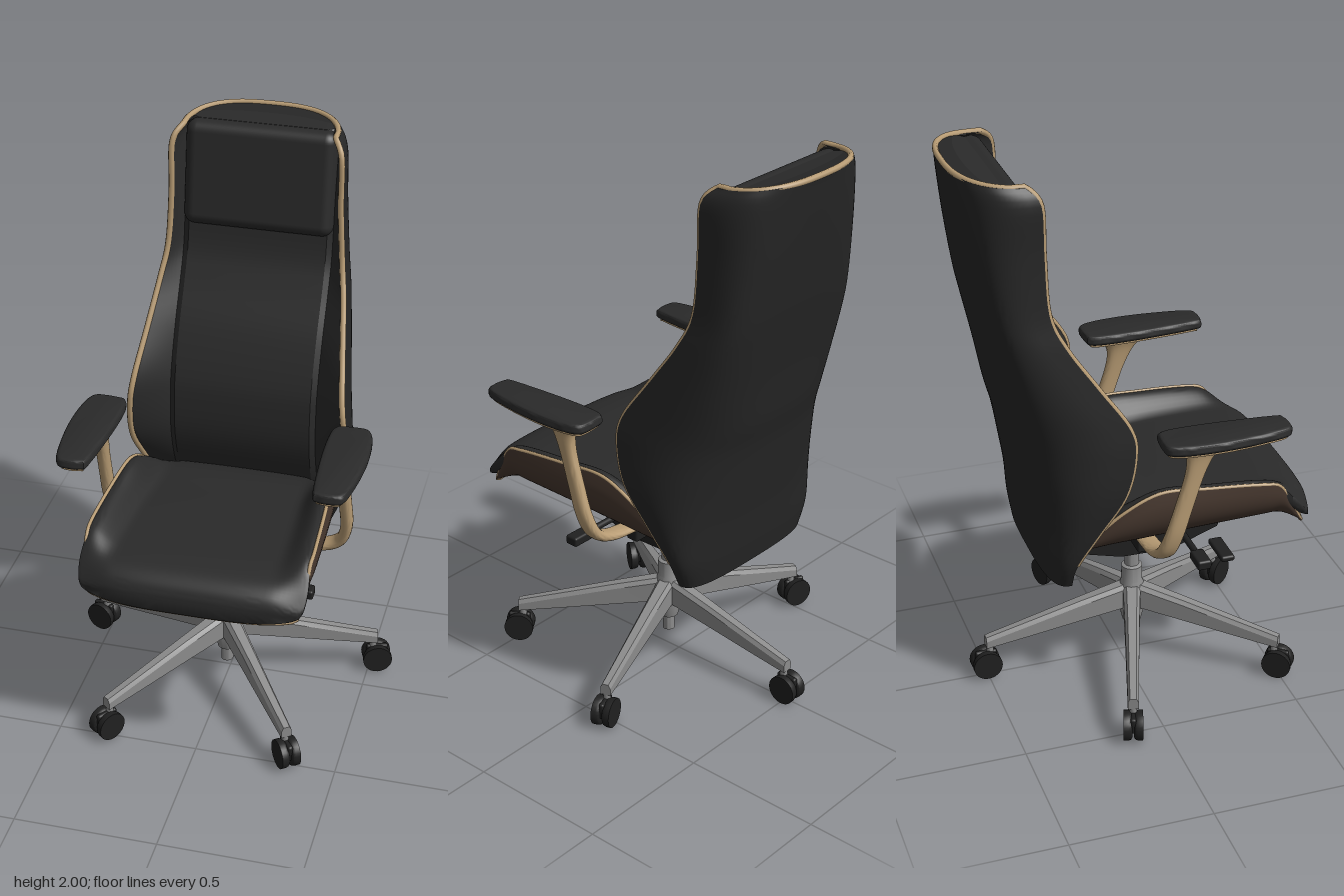
import * as THREE from 'three';
import { toCreasedNormals } from 'three/addons/utils/BufferGeometryUtils.js';
import { RoundedBoxGeometry } from 'three/addons/geometries/RoundedBoxGeometry.js';

const mat = (name, color) => new THREE.MeshStandardMaterial({ name, color });
const V = (x, y, z) => new THREE.Vector3(x, y, z);
const spow = (v, p) => Math.sign(v) * Math.pow(Math.abs(v), p);
const smooth = THREE.MathUtils.smoothstep;
const lerp = THREE.MathUtils.lerp;

// Smoothly resample a short table of rows
function resample(rows, count) {
  const out = [];
  for (let i = 0; i <= count; i++) {
    const f = (i / count) * (rows.length - 1);
    const k = Math.min(Math.floor(f), rows.length - 2), t = f - k;
    const at = j => rows[THREE.MathUtils.clamp(j, 0, rows.length - 1)];
    out.push(rows[0].map((_, c) => {
      const a = at(k)[c], b = at(k + 1)[c];
      const m0 = (b - at(k - 1)[c]) / 2, m1 = (at(k + 2)[c] - a) / 2;
      const t2 = t * t, t3 = t2 * t;
      return a * (2 * t3 - 3 * t2 + 1) + m0 * (t3 - 2 * t2 + t) + b * (3 * t2 - 2 * t3) + m1 * (t3 - t2);
    }));
  }
  return out;
}

// Solid through closed rings; each end is capped by pairing point i with n-1-i
function loft(rings, crease = 0.7) {
  const n = rings[0].length, last = (rings.length - 1) * n, idx = [];
  const quad = (a, b, c, d) => idx.push(a, b, c, a, c, d);
  for (let r = 0; r < rings.length - 1; r++)
    for (let i = 0; i < n; i++) {
      const j = (i + 1) % n;
      quad(r * n + i, r * n + j, (r + 1) * n + j, (r + 1) * n + i);
    }
  for (let i = 0; i < n / 2 - 1; i++) {
    const o = n - 1 - i;
    quad(o, o - 1, i + 1, i);
    quad(last + i, last + i + 1, last + o - 1, last + o);
  }
  const p = rings.flat();
  let volume = 0;
  for (let i = 0; i < idx.length; i += 3)
    volume += p[idx[i]].dot(p[idx[i + 1]].clone().cross(p[idx[i + 2]]));
  if (volume < 0) idx.reverse();
  const g = new THREE.BufferGeometry().setFromPoints(p);
  g.setIndex(idx);
  return toCreasedNormals(g, crease);
}

export function createModel() {
  const fabric = mat('black upholstery', 0x2a2a2a);
  const shellMat = mat('black back shell', 0x262626);
  const plastic = mat('black plastic', 0x202020);
  const wood = mat('light wood', 0xb89c74);
  const brown = mat('dark brown shell', 0x47382f);
  const metal = mat('polished metal', 0x8c8c8c);

  const model = new THREE.Group();
  model.name = 'officeChair';
  const add = (name, geo, m, x = 0, y = 0, z = 0, parent = model) => {
    const mesh = new THREE.Mesh(geo, m);
    mesh.name = name;
    mesh.position.set(x, y, z);
    parent.add(mesh);
    return mesh;
  };
  const box = (w, h, d, r = 0.008) => new RoundedBoxGeometry(w, h, d, 2, r);
  const cyl = (a, b, h, n = 28) => new THREE.CylinderGeometry(a, b, h, n);

  // Backrest rows: y, half width, wing front z, spine z, panel z, squareness exponent
  const backRows = resample([
    [0.52, 0.31, -0.27, -0.345, -0.30, 0.67], [0.62, 0.35, -0.26, -0.36, -0.28, 0.67],
    [0.75, 0.38, -0.19, -0.375, -0.21, 0.67], [0.89, 0.40, -0.105, -0.40, -0.17, 0.68],
    [1.03, 0.395, -0.07, -0.425, -0.17, 0.66], [1.13, 0.383, -0.085, -0.45, -0.19, 0.62],
    [1.28, 0.36, -0.185, -0.475, -0.25, 0.52], [1.43, 0.338, -0.285, -0.505, -0.33, 0.46],
    [1.55, 0.32, -0.335, -0.53, -0.38, 0.46], [1.75, 0.308, -0.345, -0.565, -0.41, 0.56],
    [1.92, 0.305, -0.35, -0.59, -0.45, 0.7], [1.975, 0.275, -0.39, -0.60, -0.47, 0.77],
  ], 55);
  const SEG = 48;
  const backOuter = ([y, w, zf, zb, , p], i) => {
    const a = (i / SEG) * Math.PI, s = Math.max(0, Math.sin(a));
    return V(w * spow(Math.cos(a), p), y + 0.02 * s * smooth(y, 1.9, 1.975), zf - (zf - zb) * Math.pow(s, p));
  };
  // Ten steps across each wing, the rest across the raised centre panel
  const backInner = ([y, w, zf, , zp], i) => {
    const edge = w - 0.02, seam = Math.min(0.265, edge - 0.01), k = Math.min(i, SEG - i);
    if (k <= 10) return V((i < SEG / 2 ? 1 : -1) * lerp(edge, seam, k / 10), y, lerp(zf, zp, k / 10));
    return V(lerp(seam, -seam, (i - 10) / (SEG - 20)), y, zp + 0.014);
  };
  const steps = [...Array(SEG + 1).keys()];
  // Outer shell and front upholstery are solids sharing a middle surface
  const middle = (row, i) => backOuter(row, i).lerp(backInner(row, i), 0.5);
  const backRing = f => row => [...steps.map(i => f(row, i)), ...steps.map(i => middle(row, i)).reverse()];
  add('backShell', loft(backRows.map(backRing(backOuter))), shellMat);
  add('backUpholstery', loft(backRows.map(backRing(backInner)), 0.5), fabric);

  // Wood edge up one wing, around the top and down the other
  const wing = backRows.filter(r => r[0] > 0.6);
  const side = s => wing.map(r => V(s * (r[1] - 0.01), r[0], r[2]));
  const topRow = backRows[backRows.length - 1];
  const rim = [...side(1), ...steps.filter(i => i > 1 && i < SEG - 1 && i % 3 === 0)
    .map(i => backOuter(topRow, i).multiply(V(0.97, 1, 1)).add(V(0, -0.002, 0.008))), ...side(-1).reverse()];
  add('backWoodEdge', new THREE.TubeGeometry(new THREE.CatmullRomCurve3(rim), 220, 0.0105, 8), wood);
  const headrest = add('headrest', new RoundedBoxGeometry(0.53, 0.37, 0.12, 5, 0.04), fabric, 0, 1.79, -0.435);
  headrest.rotation.x = -0.15;

  // Seat: cross-sections along z
  const seatPoint = (z, w, yb, yt, i, inset) => {
    const a = (i / SEG) * Math.PI, s = Math.max(0, Math.sin(a)), u = spow(Math.cos(a), 0.7);
    const y = yt - (yt - yb - inset) * Math.pow(s, 0.7);
    const lean = 1 - 0.04 * Math.pow(Math.max(0, (y - yb) / 0.25), 4);
    return V((w - inset) * u * lean, y, z - 0.035 * Math.pow(u, 4) * smooth(z, 0.3, 0.6));
  };
  // z, half width, bottom y, side top y
  const shellRows = resample([
    [-0.24, 0.30, 0.64, 0.66], [-0.2, 0.33, 0.615, 0.70], [-0.1, 0.368, 0.605, 0.80],
    [0.03, 0.388, 0.605, 0.86], [0.2, 0.396, 0.62, 0.855], [0.4, 0.40, 0.635, 0.84],
    [0.48, 0.395, 0.64, 0.82], [0.54, 0.385, 0.64, 0.73], [0.58, 0.37, 0.64, 0.665],
  ], 36);
  add('seatShell', loft(shellRows.map(r => [
    ...steps.map(i => seatPoint(...r, i, 0)), ...steps.map(i => seatPoint(...r, i, 0.012)).reverse()])), brown);
  const seatEdge = [...shellRows.map(r => seatPoint(...r, 0, 0.006)),
    ...steps.filter(i => i > 3 && i < SEG - 3 && i % 4 === 0).map(i => seatPoint(...shellRows[36], i, 0.006)),
    ...shellRows.map(r => seatPoint(...r, SEG, 0.006)).reverse()];
  add('seatWoodEdge', new THREE.TubeGeometry(new THREE.CatmullRomCurve3(seatEdge), 160, 0.0065, 8), wood);

  // z, half width, bottom y, side top y, centre top y, inset from the shell
  const cushionRows = resample([
    [-0.23, 0.30, 0.64, 0.67, 0.69, 0.014], [-0.2, 0.33, 0.62, 0.71, 0.73, 0.014], [-0.1, 0.368, 0.61, 0.80, 0.765, 0.014],
    [0.03, 0.388, 0.61, 0.86, 0.775, 0.014], [0.2, 0.396, 0.625, 0.855, 0.785, 0.013], [0.4, 0.40, 0.64, 0.84, 0.785, 0.012],
    [0.48, 0.40, 0.645, 0.818, 0.78, 0.01], [0.54, 0.40, 0.645, 0.768, 0.768, 0.006], [0.58, 0.395, 0.645, 0.725, 0.745, 0.005],
    [0.60, 0.385, 0.65, 0.70, 0.715, 0.005], [0.605, 0.365, 0.66, 0.68, 0.69, 0.005],
  ], 44);
  add('seatCushion', loft(cushionRows.map(([z, w, yb, yt, yc, inset]) => {
    const under = steps.map(i => seatPoint(z, w, yb, yt, i, inset));
    const over = steps.map(i => {
      const u = Math.cos((i / SEG) * Math.PI), e = under[i < SEG / 2 ? 0 : SEG];
      const lift = 0.012 * Math.sqrt(Math.max(0, 1 - u * u));
      return V(Math.abs(e.x) * u, yc + (yt - yc) * smooth(Math.abs(u), 0.7, 0.97) + lift,
        z - 0.035 * Math.pow(u, 4) * smooth(z, 0.3, 0.6));
    });
    return [...under, ...over.reverse()];
  }), 0.9), fabric);

  // Armrests
  const padOutline = [[0.38, 0.008], [0.44, 0.002], [0.49, 0.012], [0.512, 0.08], [0.518, 0.2], [0.508, 0.33],
    [0.488, 0.435], [0.45, 0.455], [0.4, 0.45], [0.38, 0.42], [0.362, 0.2], [0.362, 0.05]];
  const slab = (s, depth, bevel, inset) => {
    const curve = new THREE.SplineCurve([...padOutline, padOutline[0]].map(([x, z]) => new THREE.Vector2(s * x, z)));
    const g = new THREE.ExtrudeGeometry(new THREE.Shape(curve.getPoints(48).slice(0, -1)), {
      depth, bevelSize: bevel, bevelThickness: bevel, bevelOffset: -inset, bevelSegments: 4 });
    return toCreasedNormals(g.rotateX(Math.PI / 2), 0.6);
  };
  for (const s of [1, -1]) {
    const arm = new THREE.Group();
    arm.name = s > 0 ? 'leftArmrest' : 'rightArmrest';
    model.add(arm);
    add('armPad', slab(s, 0.01, 0.014, 0.014), fabric, 0, 1.091, 0, arm);
    add('armPadBase', slab(s, 0.006, 0.004, 0.018), wood, 0, 1.067, 0, arm);
    // Post path: x, y, z, half thickness, half width along z
    const post = resample([[0.425, 1.06, 0.15, 0.034, 0.085], [0.425, 1.02, 0.145, 0.024, 0.05], [0.427, 0.95, 0.125, 0.021, 0.034],
      [0.43, 0.84, 0.09, 0.021, 0.032], [0.43, 0.73, 0.055, 0.021, 0.033], [0.405, 0.655, 0.034, 0.02, 0.034],
      [0.34, 0.62, 0.028, 0.017, 0.034], [0.25, 0.607, 0.026, 0.014, 0.034], [0.15, 0.6, 0.026, 0.014, 0.034]], 40);
    add('armPost', loft(post.map(([x, y, z, a, b], i) => {
      const p = post[Math.max(0, i - 1)], q = post[Math.min(40, i + 1)];
      const l = Math.hypot(q[0] - p[0], q[1] - p[1]), nx = -(q[1] - p[1]) / l, ny = (q[0] - p[0]) / l;
      return [...Array(20).keys()].map(k => {
        const t = (k + 0.5) / 20 * Math.PI * 2, c = a * spow(Math.cos(t), 0.8), d = b * spow(Math.sin(t), 0.8);
        return V(s * (x + nx * c), y + ny * c, z + d);
      });
    })), wood, 0, 0, 0, arm);
    add('armMount', box(0.1, 0.05, 0.05), plastic, s * 0.18, 0.575, 0.02, arm);
  }

  // Tilt mechanism under the seat
  const housing = new THREE.Shape([[-0.375, 0.6], [-0.34, 0.52], [-0.17, 0.457], [0.02, 0.46], [0.17, 0.5],
    [0.33, 0.52], [0.33, 0.57], [0.2, 0.62], [-0.36, 0.62]].map(([z, y]) => new THREE.Vector2(z, y)));
  add('tiltHousing', new THREE.ExtrudeGeometry(housing, { depth: 0.19, bevelEnabled: false })
    .translate(0, 0, -0.095).rotateY(Math.PI / 2), plastic);
  add('seatPlate', box(0.34, 0.03, 0.5), plastic, 0, 0.615, 0.1);
  add('backBracket', box(0.3, 0.05, 0.16), plastic, 0, 0.55, -0.25);
  add('leverRod', cyl(0.012, 0.012, 0.6).rotateZ(Math.PI / 2), plastic, 0, 0.53, 0.2);
  for (const s of [1, -1]) add('leverHandle', box(0.09, 0.035, 0.05), plastic, s * 0.305, 0.53, 0.2);
  add('heightLever', box(0.14, 0.022, 0.05), plastic, -0.22, 0.5, 0.31);

  // Gas column and five-star base
  const base = new THREE.Group();
  base.name = 'base';
  base.position.z = 0.05;
  model.add(base);
  const column = [[0, 0.07], [0.022, 0.07], [0.022, 0.13], [0.034, 0.13], [0.046, 0.18], [0.046, 0.28], [0.038, 0.3],
    [0.038, 0.36], [0.026, 0.365], [0.026, 0.44], [0.036, 0.445], [0.036, 0.47], [0, 0.47]];
  add('column', toCreasedNormals(new THREE.LatheGeometry(column.map(([r, y]) => new THREE.Vector2(r, y)), 32), 0.5), metal, 0, 0, 0, base);
  // Leg sections: distance, half width, bottom y, top y
  const legGeo = loft([[0.02, 0.032, 0.2, 0.292], [0.2, 0.026, 0.172, 0.25], [0.4, 0.022, 0.142, 0.2], [0.555, 0.019, 0.12, 0.162]]
    .map(([r, w, b, t]) => [V(-w, b, r), V(w, b, r), V(w, t - 0.015, r), V(w * 0.6, t, r), V(-w * 0.6, t, r), V(-w, t - 0.015, r)]), 0.3);
  const wheelProfile = [[0, -0.017], [0.042, -0.017], [0.05, -0.012], [0.053, -0.003], [0.053, 0.014], [0, 0.014]];
  const wheelGeo = toCreasedNormals(new THREE.LatheGeometry(
    wheelProfile.map(([r, y]) => new THREE.Vector2(r, y)), 28), 0.7).rotateZ(Math.PI / 2);
  for (let i = 0; i < 5; i++) {
    const leg = new THREE.Group();
    leg.name = 'baseLeg' + (i + 1);
    leg.rotation.y = Math.PI + i * Math.PI * 0.4;
    base.add(leg);
    add('legBeam', legGeo, metal, 0, 0, 0, leg);
    add('casterStem', cyl(0.013, 0.013, 0.06, 16), metal, 0, 0.11, 0.54, leg);
    add('casterHood', box(0.02, 0.06, 0.08), plastic, 0, 0.072, 0.555, leg);
    for (const s of [1, -1])
      add('casterWheel', wheelGeo, plastic, s * 0.02, 0.053, 0.555, leg).rotation.y = s > 0 ? Math.PI : 0;
  }
  return model;
}
